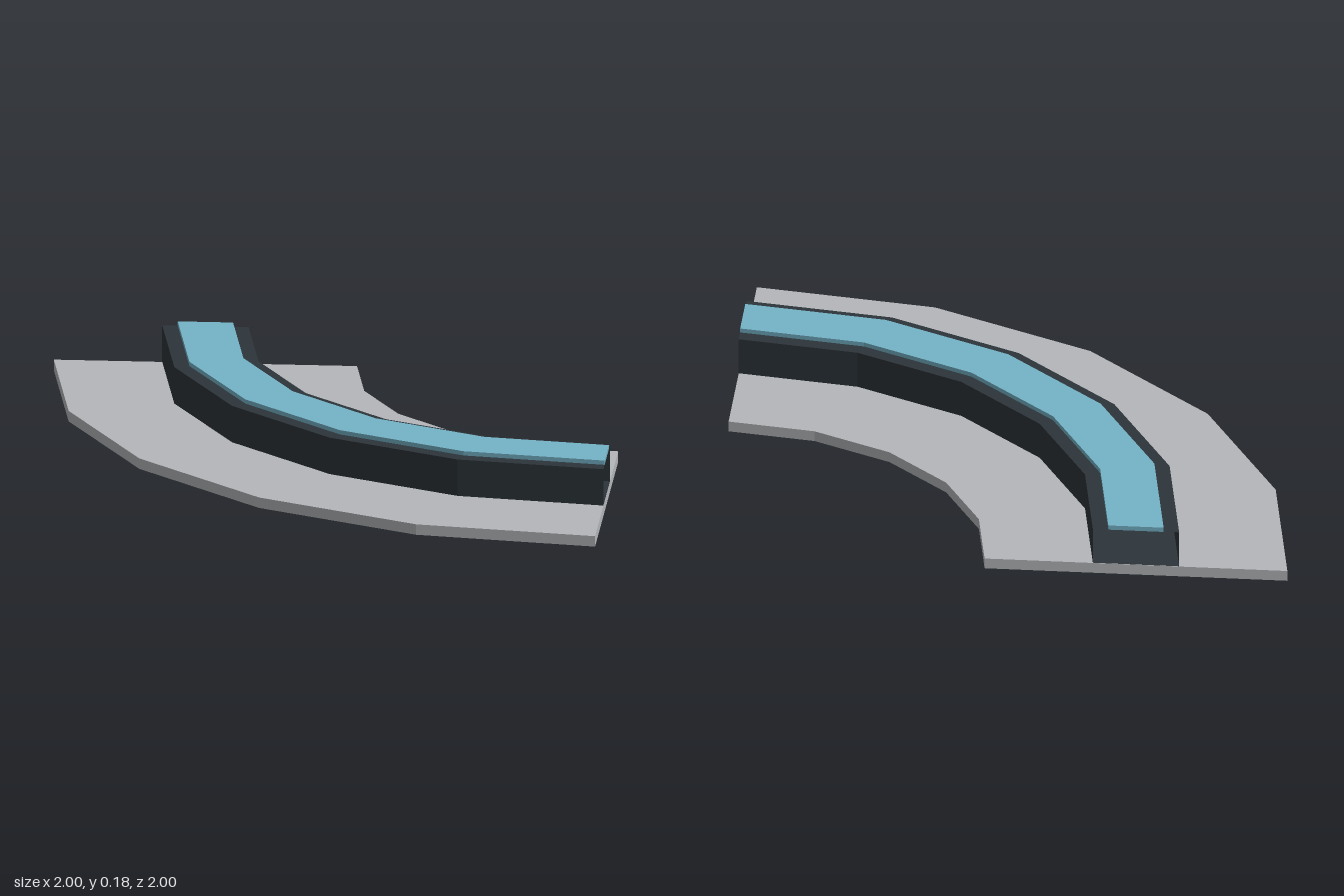
import * as THREE from 'three';

const material = (name, color, side = THREE.FrontSide) => {
  const m = new THREE.MeshStandardMaterial({ color, side });
  m.name = name;
  return m;
};

// Sweeps a [radius, height] profile through a quarter turn of five flat facets
function sweep(profile) {
  const points = profile.map(([r, y]) => new THREE.Vector2(r, y));
  const geometry = new THREE.LatheGeometry(points, 5, -Math.PI / 2, Math.PI / 2).toNonIndexed();
  geometry.computeVertexNormals();
  return geometry;
}

// Solid curved slab with both ends closed
function slab(name, inner, outer, bottom, top, mat) {
  const group = new THREE.Group();
  group.name = name;
  group.add(new THREE.Mesh(sweep([
    [inner, bottom], [outer, bottom], [outer, top], [inner, top], [inner, bottom],
  ]), mat));
  const end = new THREE.PlaneGeometry(outer - inner, top - bottom);
  const middle = (inner + outer) / 2, height = (bottom + top) / 2;
  const backEnd = new THREE.Mesh(end, mat);
  backEnd.rotation.y = Math.PI;
  backEnd.position.set(-middle, height, 0);
  const sideEnd = new THREE.Mesh(end, mat);
  sideEnd.rotation.y = Math.PI / 2;
  sideEnd.position.set(0, height, middle);
  group.add(backEnd, sideEnd);
  group.children.forEach((part, i) => { part.name = name + ['Body', 'BackEnd', 'SideEnd'][i]; });
  return group;
}

export function createModel() {
  const grey = material('floorGrey', 0xb4b7ba);
  const dark = material('casingDark', 0x2c353a, THREE.DoubleSide);
  const blue = material('beltBlue', 0x74b3c8);

  const model = new THREE.Group();
  model.name = 'curvedConveyor';

  // Everything turns about the back left corner
  const bend = new THREE.Group();
  bend.name = 'bend';
  bend.position.set(1, 0, -1);
  model.add(bend);

  bend.add(slab('floorPlate', 0.965, 2, 0, 0.037, grey));

  // Hollow casing, open at both ends, with a rim along each side of the belt
  const casing = new THREE.Mesh(sweep([
    [1.39, 0.167], [1.335, 0.167], [1.335, 0.038],
    [1.63, 0.038], [1.63, 0.167], [1.575, 0.167],
  ]), dark);
  casing.name = 'casing';
  bend.add(casing);

  bend.add(slab('belt', 1.388, 1.577, 0.166, 0.182, blue));
  return model;
}
